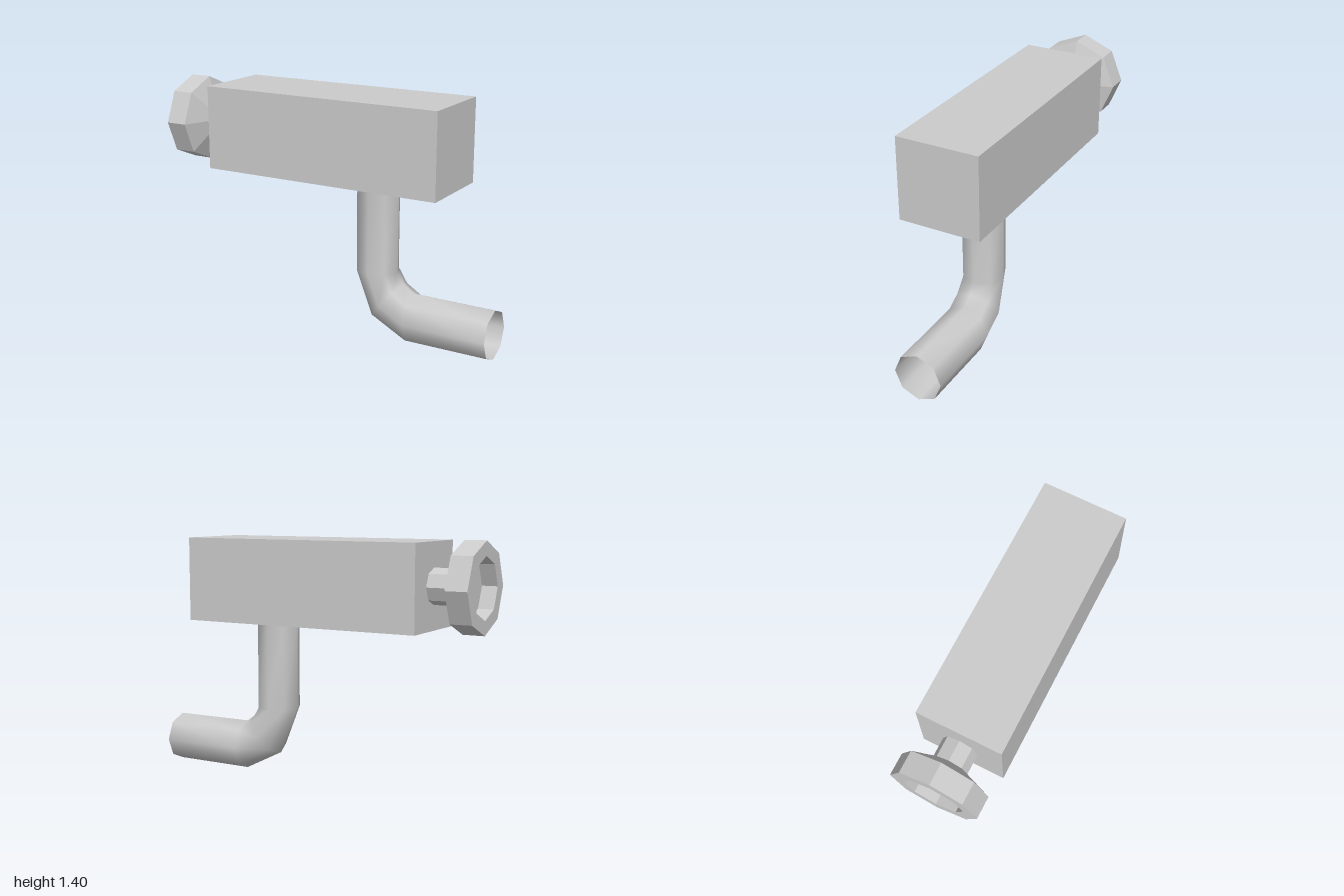
import * as THREE from 'three';

const SIDES = 8;

function add(group, name, geometry, options = {}) {
  const mesh = new THREE.Mesh(geometry, new THREE.MeshStandardMaterial({ color: 0xcccccc, ...options }));
  mesh.name = name;
  group.add(mesh);
  return mesh;
}

// Open pipe through octagonal rings, each given by its outer and inner bend point and its z radius
function pipeGeometry(rings) {
  const positions = [], indices = [];
  rings.forEach(([ox, oy, ix, iy, rz], i) => {
    for (let j = 0; j < SIDES; j++) {
      const a = (j / SIDES) * Math.PI * 2;
      const t = (1 - Math.cos(a)) / 2;
      positions.push(ox + (ix - ox) * t, oy + (iy - oy) * t, Math.sin(a) * rz);
      if (i === 0) continue;
      const next = (j + 1) % SIDES;
      const p = (i - 1) * SIDES + j, q = (i - 1) * SIDES + next;
      const r = i * SIDES + j, s = i * SIDES + next;
      indices.push(p, r, q, q, r, s);
    }
  });
  const geometry = new THREE.BufferGeometry();
  geometry.setAttribute('position', new THREE.Float32BufferAttribute(positions, 3));
  geometry.setIndex(indices);
  geometry.computeVertexNormals();
  return geometry;
}

export function createModel() {
  const model = new THREE.Group();
  model.name = 'valve';

  // Rectangular body
  const body = add(model, 'body', new THREE.BoxGeometry(1.445, 0.48, 0.48), { flatShading: true });
  body.position.set(0.0175, 1.15, 0);

  // Knob with neck, cone, rim and recessed face, turned about the x axis
  const profile = [
    [0.1, 0.7], [0.1, 0.82], [0.25, 0.875], [0.25, 1],
    [0.17, 1], [0.17, 0.91], [0, 0.91],
  ].map(([r, h]) => new THREE.Vector2(r, h));
  const knob = add(model, 'knob', new THREE.LatheGeometry(profile, SIDES),
    { flatShading: true, side: THREE.DoubleSide });
  knob.rotation.z = Math.PI / 2;
  knob.position.set(0, 1.15, -0.002);

  // Bent outlet pipe
  add(model, 'outletPipe', pipeGeometry([
    [0.155, 0.91, 0.405, 0.91, 0.123],
    [0.155, 0.4, 0.405, 0.395, 0.123],
    [0.27, 0.122, 0.445, 0.335, 0.137],
    [0.51, 0, 0.505, 0.29, 0.142],
    [1, 0, 1, 0.286, 0.142],
  ]), { side: THREE.DoubleSide });

  return model;
}
